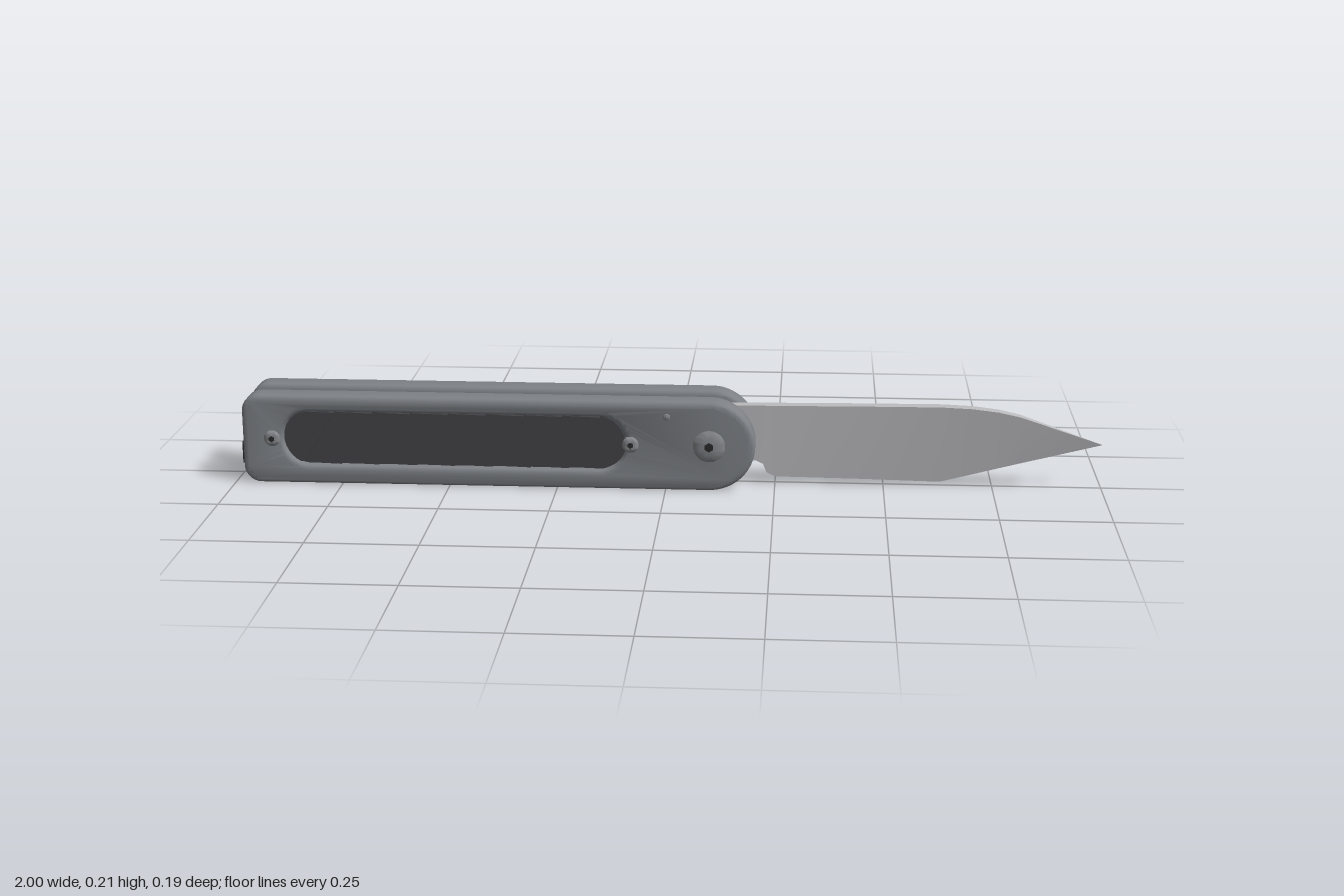
import * as THREE from 'three';
import { toCreasedNormals } from 'three/addons/utils/BufferGeometryUtils.js';

const mat = (name, color, side = THREE.FrontSide) => {
  const m = new THREE.MeshStandardMaterial({ color, side });
  m.name = name;
  return m;
};

// Reflected copy across z = 0 with the winding corrected
function mirrorZ(geo) {
  const g = geo.index ? geo.toNonIndexed() : geo.clone();
  g.clearGroups();
  g.scale(1, 1, -1);
  for (const key of ['position', 'normal']) {
    const a = g.attributes[key];
    for (let i = 0; i < a.count; i += 3) {
      const p = new THREE.Vector3().fromBufferAttribute(a, i + 1);
      const q = new THREE.Vector3().fromBufferAttribute(a, i + 2);
      a.setXYZ(i + 1, q.x, q.y, q.z);
      a.setXYZ(i + 2, p.x, p.y, p.z);
    }
  }
  return g;
}

// Pocket in the scales that holds the grip inlay
const slot = { x0: -0.885, x1: -0.09, y: 0.112, r: 0.063 };

function capsule(PathType, r = slot.r) {
  const p = new PathType();
  p.absarc(slot.x1 - slot.r, slot.y, r, -Math.PI / 2, Math.PI / 2, false);
  p.absarc(slot.x0 + slot.r, slot.y, r, Math.PI / 2, Math.PI * 1.5, false);
  p.closePath();
  return p;
}

function scaleGeometry() {
  const s = new THREE.Shape();
  const x0 = -0.98, lo = 0.003, hi = 0.213, r = 0.04, R = 0.105;
  s.absarc(0.1, 0.108, R, -Math.PI / 2, Math.PI / 2, false);
  s.absarc(x0 + r, hi - r, r, Math.PI / 2, Math.PI, false);
  s.absarc(x0 + r, lo + r, r, Math.PI, Math.PI * 1.5, false);
  s.closePath();
  s.holes.push(capsule(THREE.Path));
  const g = new THREE.ExtrudeGeometry(s, {
    depth: 0.042, bevelThickness: 0.011, bevelSize: 0.014, bevelOffset: -0.014,
    bevelSegments: 4, curveSegments: 20,
  });
  g.translate(0, 0, 0.03);
  return toCreasedNormals(g, 0.6);
}

// One slanted overlapping slat, clipped to the pocket outline
function slatGeometry(start, width, slant) {
  const left = [], right = [], n = 16, r = slot.r - 0.002;
  for (let i = 0; i <= n; i++) {
    const dy = -r * Math.cos((Math.PI * i) / n);
    const reach = Math.sqrt(Math.max(0, r * r - dy * dy));
    const a = Math.max(start + slant * dy, slot.x0 + slot.r - reach);
    const b = Math.min(start + width + slant * dy, slot.x1 - slot.r + reach);
    if (b - a < 0.003) continue;
    left.push(new THREE.Vector2(a, slot.y + dy));
    right.push(new THREE.Vector2(b, slot.y + dy));
  }
  if (left.length < 3) return null;
  const g = new THREE.ExtrudeGeometry(new THREE.Shape([...right, ...left.reverse()]),
    { depth: 0.01, bevelEnabled: false });
  g.translate(0, 0, 0.066);
  const p = g.attributes.position;
  for (let i = 0; i < p.count; i++) {
    if (p.getZ(i) < 0.07) continue;
    const u = (p.getX(i) - start - slant * (p.getY(i) - slot.y)) / width;
    p.setZ(i, 0.07 + 0.009 * u);
  }
  g.computeVertexNormals();
  return g;
}

// Domed fastener head turned about the z axis
function headGeometry(x, y, r, z0, z1) {
  const pts = [[0, z1], [r * 0.55, z1 - 0.001], [r * 0.85, z1 - 0.004], [r, z1 - 0.008], [r, z0]]
    .reverse().map(([a, b]) => new THREE.Vector2(a, b));
  const g = toCreasedNormals(new THREE.LatheGeometry(pts, 28), 0.7);
  g.rotateX(Math.PI / 2);
  g.translate(x, y, 0);
  return g;
}

function discGeometry(x, y, z, r, depth, sides = 28) {
  const g = new THREE.CylinderGeometry(r, r, depth, sides);
  g.rotateX(Math.PI / 2);
  g.translate(x, y, z);
  return g;
}

// Blade stations: x, spine y, edge y, spine half thickness, edge half thickness
function bladeGeometry() {
  const st = [
    [0.01, 0.15, 0.065, 0.013, 0.013], [0.05, 0.178, 0.052, 0.013, 0.013],
    [0.15, 0.189, 0.052, 0.014, 0.013], [0.205, 0.19, 0.058, 0.014, 0.013],
    [0.222, 0.19, 0.05, 0.014, 0.013], [0.23, 0.19, 0.03, 0.014, 0.0125],
    [0.25, 0.19, 0.02, 0.014, 0.012], [0.45, 0.192, 0.016, 0.014, 0.006],
    [0.63, 0.193, 0.011, 0.014, 0.0006], [0.7, 0.19, 0.029, 0.014, 0.0006],
    [0.76, 0.183, 0.045, 0.0138, 0.0006], [0.81, 0.172, 0.058, 0.0125, 0.0006],
    [0.998, 0.107, 0.106, 0.0006, 0.0004],
  ];
  const ring = ([x, t, b, ht, hb]) => [[x, t, ht], [x, t, -ht], [x, b, -hb], [x, b, hb]];
  const v = [];
  const quad = (a, b, c, d) => v.push(...a, ...b, ...c, ...a, ...c, ...d);
  for (let i = 0; i < st.length - 1; i++) {
    const p = ring(st[i]), q = ring(st[i + 1]);
    for (let k = 0; k < 4; k++) quad(p[k], q[k], q[(k + 1) % 4], p[(k + 1) % 4]);
  }
  quad(...ring(st[0]));
  quad(...ring(st[st.length - 1]).reverse());
  const g = new THREE.BufferGeometry();
  g.setAttribute('position', new THREE.Float32BufferAttribute(v, 3));
  g.computeVertexNormals();
  return toCreasedNormals(g, 0.25);
}

export function createModel() {
  const handle = mat('handle grey', 0x7d8186);
  const steel = mat('blade steel', 0xbcbcbf);
  const screw = mat('screw grey', 0x85888c);
  const dark = mat('dark inlay', 0x434346);
  const black = mat('black hardware', 0x2a2a2c);
  const brass = mat('brass washer', 0xb08d4a);

  const model = new THREE.Group();
  model.name = 'foldingKnife';
  const add = (parent, name, geo, material) => {
    const m = new THREE.Mesh(geo, material);
    m.name = name;
    parent.add(m);
  };

  // Parts repeated on both faces
  const parts = [['scale', scaleGeometry(), handle]];
  const back = new THREE.ExtrudeGeometry(capsule(THREE.Shape, slot.r + 0.002),
    { depth: 0.045, bevelEnabled: false, curveSegments: 20 });
  back.translate(0, 0, 0.022);
  parts.push(['inlayBase', back, dark]);
  const pitch = 0.088;
  for (let i = -1; i < 10; i++) {
    const g = slatGeometry(slot.x0 + i * pitch, pitch - 0.005, 0.6);
    if (g) parts.push(['inlaySlat', g, dark]);
  }
  for (const x of [-0.91, -0.08]) {
    parts.push(['bodyScrew', headGeometry(x, 0.111, 0.019, 0.07, 0.091), screw]);
    parts.push(['screwSocket', discGeometry(x, 0.111, 0.0905, 0.007, 0.002, 6), black]);
  }
  parts.push(['pivotScrew', headGeometry(0.1, 0.11, 0.037, 0.07, 0.092), screw]);
  parts.push(['pivotSocket', discGeometry(0.1, 0.11, 0.0915, 0.011, 0.002, 6), black]);
  parts.push(['stopPinEnd', headGeometry(0.003, 0.178, 0.011, 0.07, 0.086), screw]);
  parts.push(['pivotWasher', discGeometry(0.1, 0.11, 0.0165, 0.06, 0.007), brass]);

  const front = new THREE.Group(), rear = new THREE.Group();
  front.name = 'frontSide';
  rear.name = 'rearSide';
  for (const [name, geo, material] of parts) {
    add(front, name, geo, material);
    add(rear, name, mirrorZ(geo), material);
  }
  model.add(front, rear);

  // Blade, tail spacer and tail catch
  add(model, 'blade', bladeGeometry(), steel);
  add(model, 'tailSpacer', discGeometry(-0.91, 0.111, 0, 0.029, 0.044), black);
  const lever = new THREE.BoxGeometry(0.042, 0.052, 0.016);
  lever.translate(-0.979, 0.053, 0);
  add(model, 'tailCatch', lever, black);
  add(model, 'tailCatchPin', discGeometry(-0.955, 0.053, 0, 0.012, 0.044, 16), black);
  return model;
}
